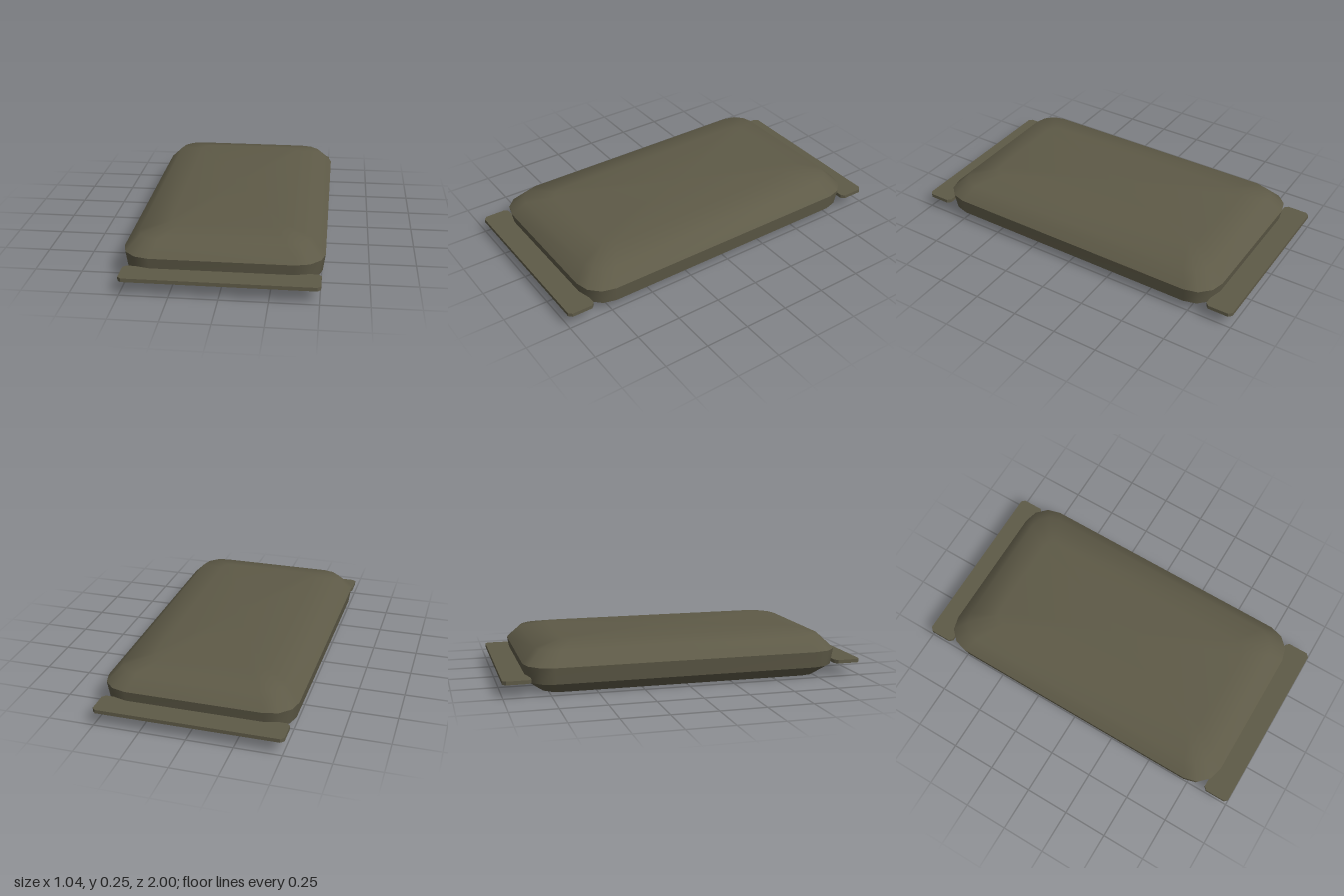
import * as THREE from 'three';

// Outline of a rounded rectangle at height y, corners in three facets
function ring(halfW, halfD, radius, y) {
  const points = [];
  const corners = [[1, 1], [-1, 1], [-1, -1], [1, -1]];
  corners.forEach(([sx, sz], q) => {
    for (let i = 0; i <= 3; i++) {
      const a = (q + i / 3) * Math.PI / 2;
      points.push([
        sx * (halfW - radius) + Math.cos(a) * radius,
        y,
        sz * (halfD - radius) + Math.sin(a) * radius,
      ]);
    }
  });
  return points;
}

// Smooth surface through rings listed from low to high
function loft(rings) {
  const n = rings[0].length;
  const index = [];
  for (let r = 0; r < rings.length - 1; r++) {
    for (let i = 0; i < n; i++) {
      const j = (i + 1) % n;
      const a = r * n + i, b = r * n + j;
      index.push(a, a + n, b, b, a + n, b + n);
    }
  }
  const geometry = new THREE.BufferGeometry();
  geometry.setAttribute('position', new THREE.Float32BufferAttribute(rings.flat(2), 3));
  geometry.setIndex(index);
  geometry.computeVertexNormals();
  return geometry;
}

export function createModel() {
  const group = new THREE.Group();
  const foil = new THREE.MeshStandardMaterial({ color: 0x5e5a47 });
  foil.name = 'olive drab foil';

  function add(name, geometry) {
    const mesh = new THREE.Mesh(geometry, foil);
    mesh.name = name;
    group.add(mesh);
    return mesh;
  }

  // Cross-sections of the padded pouch
  const base = ring(0.433, 0.79, 0.11, 0);
  const lower = ring(0.507, 0.865, 0.14, 0.06);
  const rim = ring(0.52, 0.88, 0.15, 0.15);
  const shoulder = ring(0.447, 0.805, 0.12, 0.225);
  const crown = ring(0.297, 0.66, 0.06, 0.255);
  const collapse = (y) => base.map(() => [0, y, 0]);

  // Bands are separate so their shared edges stay crisp
  add('pouchBottom', loft([collapse(0), base]));
  add('pouchLowerBevel', loft([base, lower]));
  add('pouchSide', loft([lower, rim]));
  add('pouchTop', loft([rim, shoulder, crown, collapse(0.255)]));

  // Flat sealed strips with clipped corners at both ends
  const w = 0.505, d = 0.075, c = 0.018;
  const strip = new THREE.Shape([
    [-w + c, -d], [w - c, -d], [w, -d + c], [w, d - c],
    [w - c, d], [-w + c, d], [-w, d - c], [-w, -d + c],
  ].map(([x, y]) => new THREE.Vector2(x, y)));
  const stripGeometry = new THREE.ExtrudeGeometry(strip, { depth: 0.02, bevelEnabled: false });
  stripGeometry.rotateX(-Math.PI / 2);
  for (const [name, side] of [['frontSeal', 1], ['backSeal', -1]]) {
    add(name, stripGeometry).position.set(0, 0.073, side * 0.925);
  }

  return group;
}
